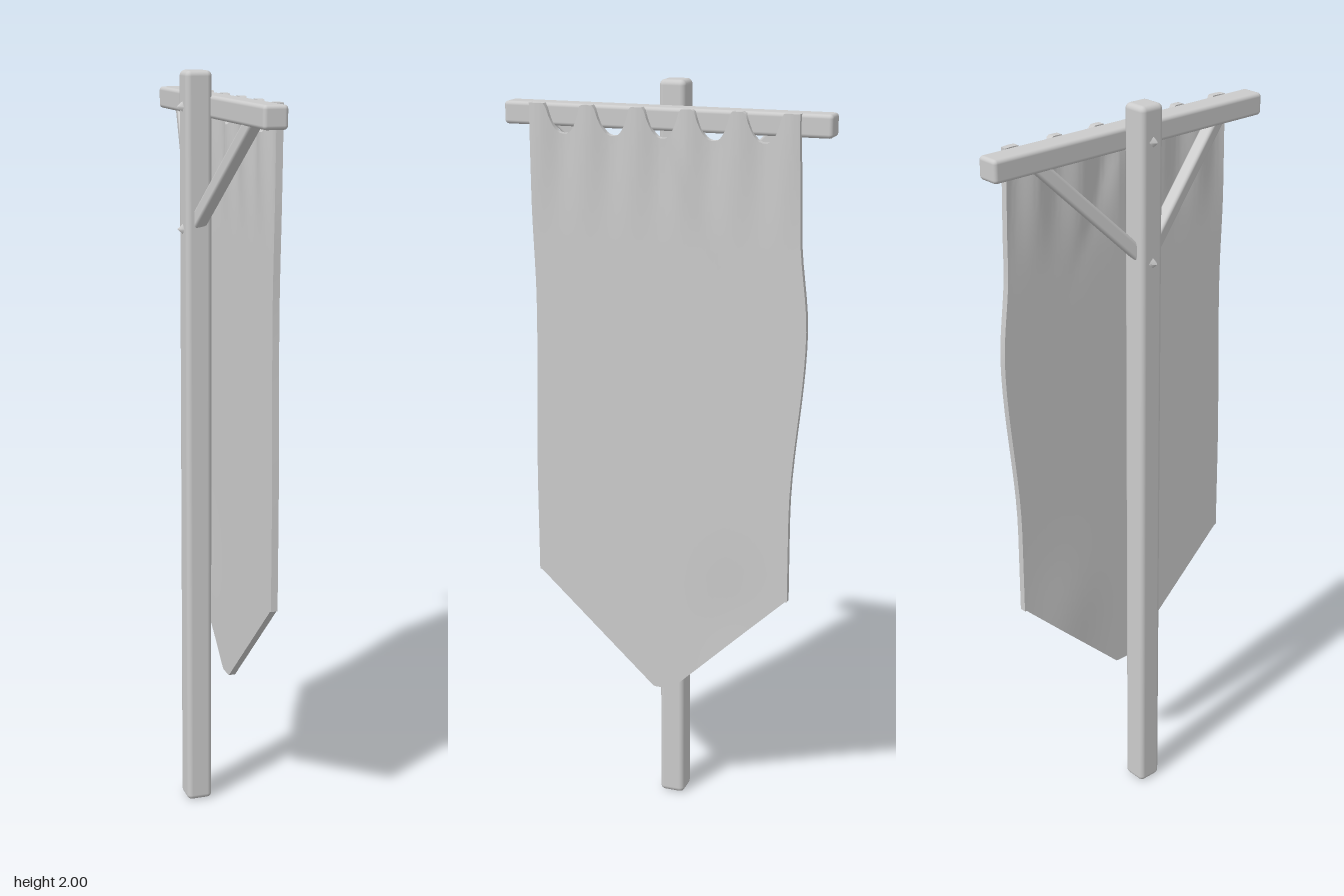
import * as THREE from 'three';
import { RoundedBoxGeometry } from 'three/addons/geometries/RoundedBoxGeometry.js';
import { toCreasedNormals } from 'three/addons/utils/BufferGeometryUtils.js';

const material = new THREE.MeshStandardMaterial({ color: 0xcccccc });

function addMesh(parent, name, geometry, x = 0, y = 0, z = 0) {
  const mesh = new THREE.Mesh(geometry, material);
  mesh.name = name;
  mesh.position.set(x, y, z);
  parent.add(mesh);
  return mesh;
}

// Piecewise-linear lookup through [key, value] pairs with ascending keys
function sample(points, key) {
  for (let i = 1; i < points.length; i++) {
    const [k0, v0] = points[i - 1], [k1, v1] = points[i];
    if (key <= k1) return v0 + (v1 - v0) * THREE.MathUtils.smoothstep(key, k0, k1);
  }
  return points[points.length - 1][1];
}

const TAB_SPACING = 0.132;
const leftEdge = [[0.36, 0.36], [0.9, 0.36], [1.43, 0.35], [1.7, 0.357], [1.94, 0.357]];
const rightEdge = [[0.36, 0.35], [0.9, 0.348], [1.4, 0.383], [1.65, 0.362], [1.94, 0.355]];

// Scalloped top edge: six narrow tabs with rounded gaps between them
function topHeight(z) {
  if (Math.abs(z) > 2.5 * TAB_SPACING) return 1.938;
  const gap = z - Math.round(z / TAB_SPACING) * TAB_SPACING;
  const t = Math.min(1, Math.abs(gap) / 0.048);
  return 1.938 - 0.075 * (1 - t ** 2.5);
}

// Pointed bottom edge with a short flat tip
function bottomHeight(z) {
  return 0.36 + 0.305 * THREE.MathUtils.clamp((Math.abs(z) - 0.025) / 0.325, 0, 1);
}

// Cloth: a thin slab whose vertices follow the outline and hang in folds
function clothGeometry() {
  const geometry = new THREE.BoxGeometry(1, 1, 1, 1, 32, 108);
  const p = geometry.attributes.position;
  for (let i = 0; i < p.count; i++) {
    const side = p.getX(i), v = 0.5 - p.getY(i), u = p.getZ(i) * 2;
    const flatZ = u * 0.355;
    const top = topHeight(flatZ);
    const y = top + (bottomHeight(flatZ) - top) * v ** 1.5;
    const z = u * sample(u > 0 ? leftEdge : rightEdge, y);
    const fall = THREE.MathUtils.smoothstep(y, 1.58, 1.9);
    const folds = -0.006 * fall * Math.cos((2 * Math.PI * flatZ) / TAB_SPACING);
    const crease = 0.004 * Math.exp(-(((z + 0.02 + (1.9 - y) * 0.4) / 0.03) ** 2)) * THREE.MathUtils.smoothstep(y, 1.5, 1.8);
    const dent = -0.006 * Math.exp(-(((z + 0.2) / 0.1) ** 2) - ((y - 0.6) / 0.14) ** 2);
    p.setXYZ(i, 0.062 + side * 0.018 + folds + crease + dent, y, z);
  }
  return toCreasedNormals(geometry, 0.8);
}

export function createModel() {
  const model = new THREE.Group();
  model.name = 'hangingBanner';

  addMesh(model, 'pole', new RoundedBoxGeometry(0.07, 2, 0.07, 3, 0.014), -0.032, 1, -0.002);
  addMesh(model, 'crossbar', new RoundedBoxGeometry(0.063, 0.058, 0.866, 3, 0.01), 0.028, 1.909, 0);
  addMesh(model, 'cloth', clothGeometry());

  // Diagonal braces from the pole up to the crossbar
  for (const s of [1, -1]) {
    const from = new THREE.Vector3(-0.035, 1.6, 0);
    const to = new THREE.Vector3(0.024, 1.9, s * 0.3);
    const brace = addMesh(model, s > 0 ? 'frontBrace' : 'backBrace',
      new RoundedBoxGeometry(0.036, 0.036, from.distanceTo(to), 2, 0.008));
    brace.position.lerpVectors(from, to, 0.5);
    brace.lookAt(to);
  }

  // Pointed nail heads on the back of the pole
  for (const y of [1.6, 1.91]) {
    const nail = addMesh(model, 'nail', new THREE.ConeGeometry(0.015, 0.017, 4), -0.0735, y, -0.002);
    nail.rotation.z = Math.PI / 2;
  }
  return model;
}
